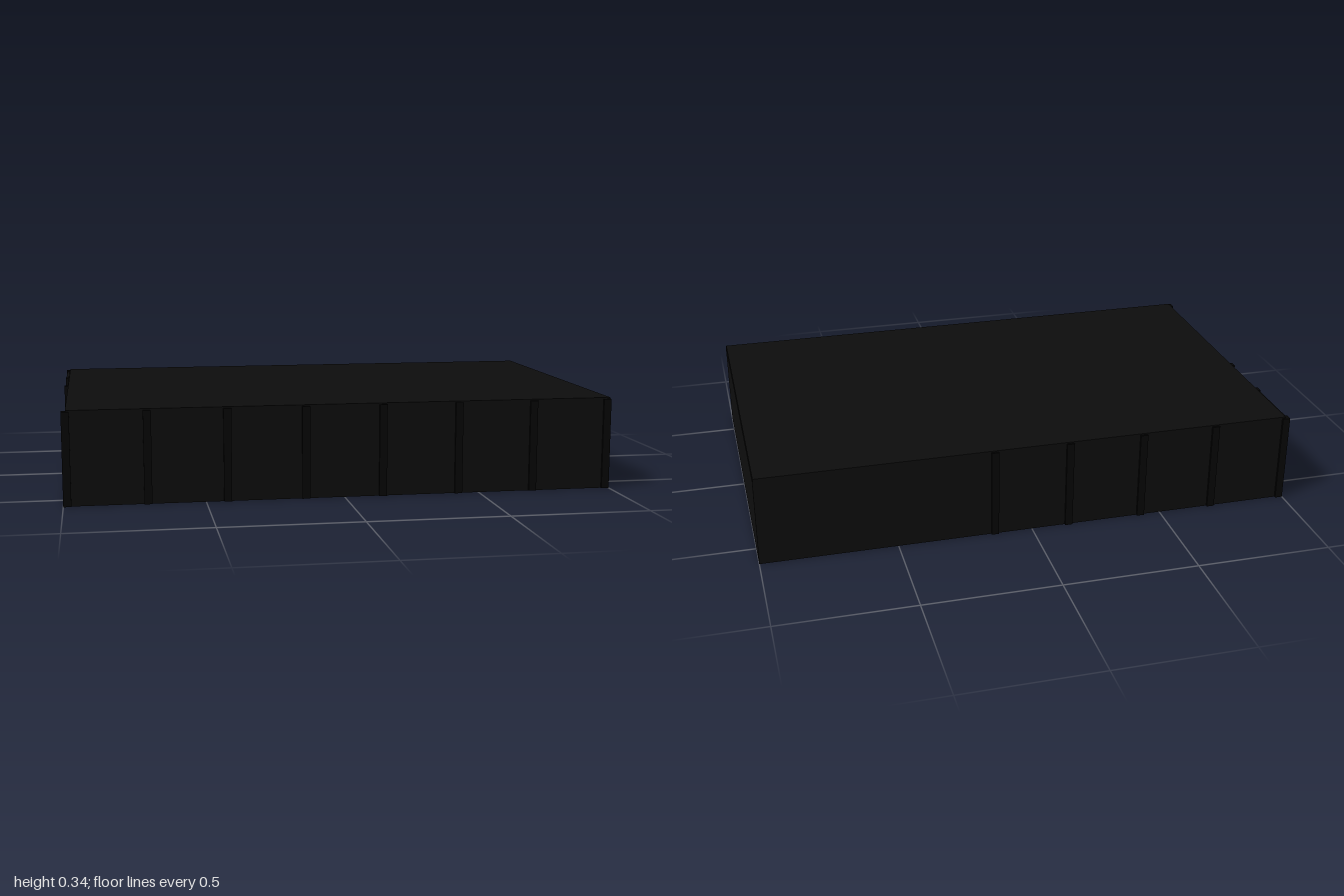
import * as THREE from 'three';

const black = new THREE.MeshStandardMaterial({ color: 0x0d0d0d, name: 'black cladding' });
const jet = new THREE.MeshStandardMaterial({ color: 0x050505, name: 'jet steel' });
const concrete = new THREE.MeshStandardMaterial({ color: 0x3d3c36, name: 'grey concrete' });

export function createModel() {
  const model = new THREE.Group();
  model.name = 'warehouse';

  // Box given by its lower and upper corners
  function box(name, material, x0, y0, z0, x1, y1, z1) {
    const mesh = new THREE.Mesh(new THREE.BoxGeometry(x1 - x0, y1 - y0, z1 - z0), material);
    mesh.position.set((x0 + x1) / 2, (y0 + y1) / 2, (z0 + z1) / 2);
    mesh.name = name;
    model.add(mesh);
  }
  const wallTop = 0.33;
  const wall = (name, x0, z0, x1, z1) => box(name, black, x0, 0, z0, x1, wallTop, z1);
  const post = (name, x, z, s = 0.028) =>
    box(name, jet, x - s / 2, 0, z - s / 2, x + s / 2, 0.335, z + s / 2);

  // Floor and roof
  box('floor', concrete, -1, 0.001, -0.605, 0.99, 0.008, 0.605);
  box('roof', black, -0.985, 0.328, -0.607, 0.998, 0.34, 0.607);

  // Outer walls, with an open bay on the -x end
  wall('frontWall', -0.985, 0.597, 1, 0.607);
  wall('backWall', -0.985, -0.607, 1, -0.597);
  wall('sideWall', 0.99, -0.607, 1, 0.607);
  wall('endWall', -0.998, -0.607, -0.988, -0.34);
  wall('officeEndWall', -0.988, -0.34, -0.978, -0.09);

  // Office beside the bay, and the wall at the back of the bay
  wall('officeBackWall', -0.985, -0.345, -0.705, -0.337);
  wall('officeSideWall', -0.985, -0.093, -0.705, -0.085);
  wall('officeInnerWall', -0.711, -0.345, -0.703, -0.085);
  box('bayWall', black, -0.711, 0.008, -0.085, -0.703, wallTop, 0.597);

  // Corner room at the opposite end
  wall('cornerRoomSide', 0.71, -0.6, 0.718, -0.335);
  wall('cornerRoomFront', 0.71, -0.343, 0.99, -0.335);

  // Columns on the bay grid
  for (let i = 0; i < 8; i++) {
    const x = -0.986 + i * 0.2817;
    post('frontColumn', x, 0.601);
    if (i < 5) post('backColumn', x, -0.601);
    if (i > 0 && i < 7) {
      post('innerColumn', x, 0.32, 0.02);
      post('innerColumn', x, -0.34, 0.02);
    }
  }
  post('endColumn', -0.986, -0.34);
  post('endColumn', -0.986, -0.09);
  post('innerColumn', -0.423, 0.01, 0.02);
  return model;
}
